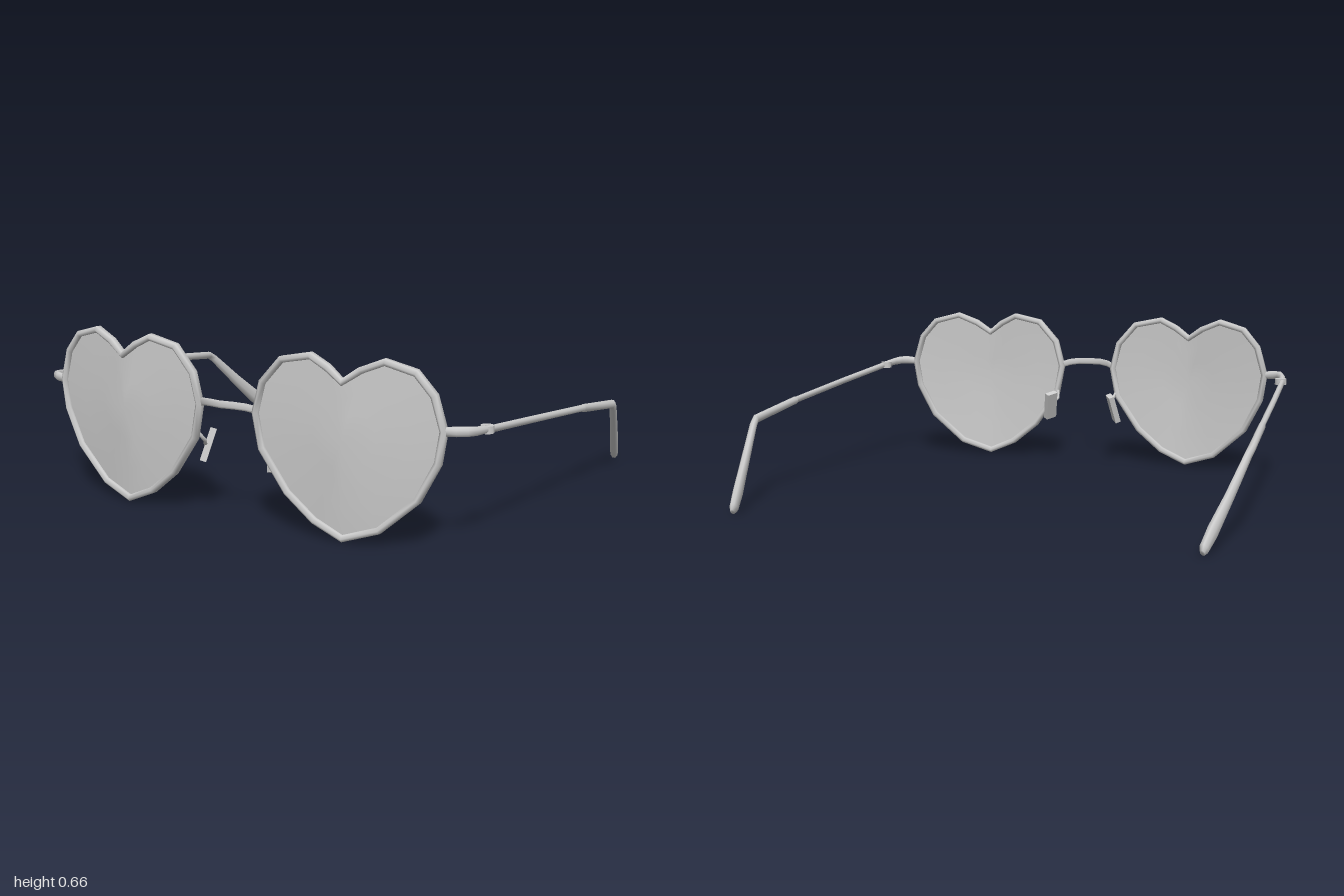
import * as THREE from 'three';

const V = (x, y, z) => new THREE.Vector3(x, y, z);
const metal = new THREE.MeshStandardMaterial({ color: 0xcccccc });
const thin = new THREE.MeshStandardMaterial({ color: 0xcccccc, side: THREE.DoubleSide });

function surface(positions, index) {
  const g = new THREE.BufferGeometry();
  g.setAttribute('position', new THREE.Float32BufferAttribute(positions, 3));
  g.setIndex(index);
  g.computeVertexNormals();
  return g;
}

// Sweeps an oval along points; each radius is [across, along the up direction]
function sweep(points, radii, up, sides, closed = false) {
  const pts = points.slice(), rad = radii.slice();
  if (!closed) {
    pts.unshift(pts[0]); pts.push(pts[pts.length - 1]);
    rad.unshift([0, 0]); rad.push([0, 0]);
  }
  const n = pts.length, pos = [], index = [];
  for (let i = 0; i < n; i++) {
    const a = closed ? (i + n - 1) % n : Math.max(i - 1, 0);
    const b = closed ? (i + 1) % n : Math.min(i + 1, n - 1);
    const t = pts[b].clone().sub(pts[a]).normalize();
    const side = t.clone().cross(up).normalize();
    const lift = side.clone().cross(t);
    for (let j = 0; j < sides; j++) {
      const w = (j + 0.5) / sides * Math.PI * 2;
      const p = pts[i].clone()
        .addScaledVector(side, Math.cos(w) * rad[i][0])
        .addScaledVector(lift, Math.sin(w) * rad[i][1]);
      pos.push(p.x, p.y, p.z);
    }
  }
  for (let i = 0; i < (closed ? n : n - 1); i++) {
    for (let j = 0; j < sides; j++) {
      const k = (j + 1) % sides, m = (i + 1) % n;
      const a = i * sides + j, b = i * sides + k, c = m * sides + j, d = m * sides + k;
      index.push(a, c, b, b, c, d);
    }
  }
  return surface(pos, index);
}

function mirrored(geometry) {
  const g = geometry.clone();
  g.scale(-1, 1, 1);
  const ix = g.index.array;
  for (let i = 0; i < ix.length; i += 3) [ix[i], ix[i + 1]] = [ix[i + 1], ix[i]];
  g.computeVertexNormals();
  return g;
}

// Heart outline of the left lens, counter-clockwise from the notch
const heart = [
  [0.47, 0.58], [0.41, 0.625], [0.34, 0.66], [0.22, 0.635], [0.14, 0.545], [0.11, 0.43],
  [0.135, 0.3], [0.24, 0.15], [0.35, 0.06], [0.465, 0.01], [0.6, 0.055], [0.74, 0.18],
  [0.812, 0.32], [0.83, 0.435], [0.795, 0.555], [0.73, 0.63], [0.62, 0.66], [0.535, 0.625],
];
const centre = [0.47, 0.37];

// The front wraps back towards the temples and curves gently in height
function frontZ(x, y) {
  const wrap = x > 0.47 ? (x - 0.47) * 0.2 : 0;
  return 0.764 - wrap - 0.012 * ((y - 0.38) / 0.33) ** 2;
}
function heartPoint([x, y], s) {
  const px = centre[0] + (x - centre[0]) * s, py = centre[1] + (y - centre[1]) * s;
  return V(px, py, frontZ(px, py));
}

function lensGeometry() {
  const pos = [centre[0], centre[1], frontZ(...centre) + 0.004], index = [];
  const rings = [0.33, 0.66, 0.965], n = heart.length;
  rings.forEach((s) => heart.forEach((h) => pos.push(...heartPoint(h, s).toArray())));
  for (let j = 0; j < n; j++) {
    const k = (j + 1) % n;
    index.push(0, 1 + j, 1 + k);
    for (let r = 0; r < rings.length - 1; r++) {
      const a = 1 + r * n, b = a + n;
      index.push(a + j, b + j, b + k, a + j, b + k, a + k);
    }
  }
  return surface(pos, index);
}

export function createModel() {
  const model = new THREE.Group();
  const yUp = V(0, 1, 0), zUp = V(0, 0, 1);
  const add = (name, geometry, material = metal) => {
    const mesh = new THREE.Mesh(geometry, material);
    mesh.name = name;
    model.add(mesh);
  };
  const addPair = (name, geometry, material) => {
    add('left' + name, geometry, material);
    add('right' + name, mirrored(geometry), material);
  };

  // Lenses and rims
  addPair('Lens', lensGeometry(), thin);
  addPair('Rim', sweep(heart.map((h) => heartPoint(h, 0.968)),
    heart.map(() => [0.014, 0.02]), zUp, 6, true));

  // Bridge: a thin bowed strip
  const bridge = [[-0.12, 0.435, 0.762], [-0.09, 0.445, 0.782], [-0.05, 0.45, 0.8], [0, 0.45, 0.807],
    [0.05, 0.45, 0.8], [0.09, 0.445, 0.782], [0.12, 0.435, 0.762]].map((p) => V(...p));
  add('bridge', sweep(bridge, bridge.map(() => [0.004, 0.014]), yUp, 6));

  // End pieces curving back from the rims to the hinges
  const endPiece = [V(0.81, 0.432, 0.695), V(0.86, 0.436, 0.686), V(0.888, 0.436, 0.668),
    V(0.905, 0.432, 0.63), V(0.917, 0.426, 0.55)];
  addPair('EndPiece', sweep(endPiece,
    [[0.013, 0.016], [0.013, 0.018], [0.014, 0.018], [0.013, 0.016], [0.011, 0.013]], yUp, 8));
  const knuckle = new THREE.CylinderGeometry(0.024, 0.024, 0.026, 10);
  knuckle.translate(0.911, 0.425, 0.557);
  addPair('Hinge', knuckle);

  // Temple arms
  addPair('Temple', sweep([V(0.918, 0.426, 0.57), V(0.945, 0.392, 0.2), V(0.97, 0.353, -0.2)],
    [[0.011, 0.013], [0.011, 0.013], [0.011, 0.013]], yUp, 8));

  // Ear tips, swelling towards the end
  addPair('EarTip', sweep(
    [V(0.97, 0.354, -0.18), V(0.985, 0.316, -0.465), V(0.979, 0.296, -0.495), V(0.943, 0.176, -0.62),
      V(0.91, 0.075, -0.73), V(0.895, 0.03, -0.782), V(0.893, 0.018, -0.797)],
    [[0.013, 0.016], [0.014, 0.017], [0.014, 0.017], [0.016, 0.024],
      [0.018, 0.032], [0.016, 0.026], [0.009, 0.014]], yUp, 8));

  // Nose pads and their wire arms
  const pad = new THREE.BoxGeometry(0.024, 0.125, 0.052);
  pad.applyMatrix4(new THREE.Matrix4().makeRotationFromEuler(new THREE.Euler(-0.2, -0.6, 0.33, 'YXZ')));
  pad.translate(0.148, 0.256, 0.682);
  addPair('NosePad', pad);
  const wire = [V(0.15, 0.262, 0.688), V(0.14, 0.268, 0.712), V(0.128, 0.285, 0.728), V(0.138, 0.315, 0.752)];
  addPair('NosePadArm', sweep(wire, wire.map(() => [0.007, 0.007]), V(1, 0, 0), 6));

  return model;
}
